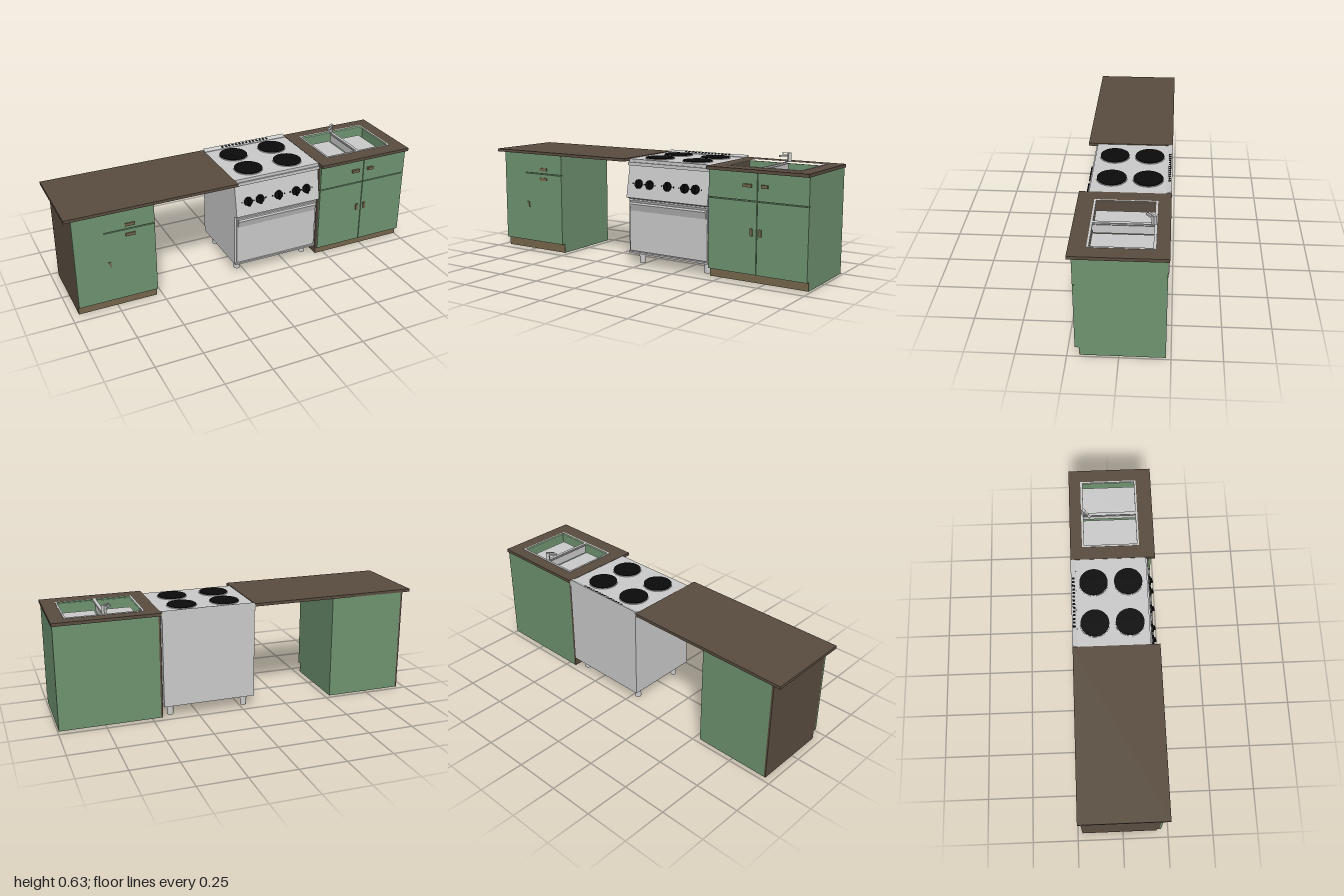
import * as THREE from 'three';

const mat = (color) => new THREE.MeshStandardMaterial({ color });
const STEEL = mat(0xcccccc), GREEN = mat(0x6f9470), WOOD = mat(0x5a4d40);
const KICK = mat(0x76674c), BLACK = mat(0x0b0b0b);

function add(parent, name, geometry, material) {
  const mesh = new THREE.Mesh(geometry, material);
  mesh.name = name;
  parent.add(mesh);
  return mesh;
}

// Box given by its limits on each axis
function box(parent, name, material, x0, x1, y0, y1, z0, z1) {
  const g = new THREE.BoxGeometry(x1 - x0, y1 - y0, z1 - z0);
  g.translate((x0 + x1) / 2, (y0 + y1) / 2, (z0 + z1) / 2);
  return add(parent, name, g, material);
}

// Side profile of [z, y] points swept from x0 to x1
function sweep(parent, name, material, x0, x1, points) {
  const shape = new THREE.Shape(points.map(([z, y]) => new THREE.Vector2(z, y)));
  const g = new THREE.ExtrudeGeometry(shape, { depth: x1 - x0, bevelEnabled: false });
  g.rotateY(-Math.PI / 2).translate(x1, 0, 0);
  return add(parent, name, g, material);
}

// Flat plate with rectangular holes, each rectangle being [x0, x1, z0, z1]
function plate(parent, name, material, rect, y0, y1, holes) {
  const corners = ([x0, x1, z0, z1]) =>
    [[x0, -z0], [x1, -z0], [x1, -z1], [x0, -z1]].map(([x, y]) => new THREE.Vector2(x, y));
  const shape = new THREE.Shape(corners(rect));
  holes.forEach((h) => shape.holes.push(new THREE.Path(corners(h))));
  const g = new THREE.ExtrudeGeometry(shape, { depth: y1 - y0, bevelEnabled: false });
  g.rotateX(-Math.PI / 2).translate(0, y0, 0);
  return add(parent, name, g, material);
}

// Open-topped carcass with a toe kick; fronts are [x0, x1, y0, y1]
function cabinet(name, x0, x1, y0, y1, fronts) {
  const g = new THREE.Group();
  g.name = name;
  const t = 0.01, back = -0.225, kickTop = 0.052;
  const side = [[back, y0], [0.188, y0], [0.188, kickTop], [0.2, kickTop], [0.2, y1], [back, y1]];
  sweep(g, 'outerSide', WOOD, x0, x0 + t, side);
  sweep(g, 'innerSide', GREEN, x1 - t, x1, side);
  box(g, 'backPanel', GREEN, x0 + t, x1 - t, y0, y1, back, back + t);
  box(g, 'bottomPanel', GREEN, x0 + t, x1 - t, y0, y0 + t, back + t, 0.18);
  box(g, 'toeKick', KICK, x0, x1, y0 + 0.001, kickTop, 0.18, 0.189);
  box(g, 'faceFrame', GREEN, x0 + t, x1 - t, kickTop, y1, 0.19, 0.2);
  fronts.forEach((f) => box(g, 'frontPanel', GREEN, ...f, 0.2, 0.21));
  return g;
}

function handle(parent, x, y, w, h, depth) {
  box(parent, 'handle', KICK, x - w / 2, x + w / 2, y - h / 2, y + h / 2, 0.208, 0.21 + depth);
}

function createDrawerUnit() {
  const g = cabinet('drawerCabinet', -0.96, -0.53, 0, 0.571, [
    [-0.96, -0.8, 0.052, 0.571], [-0.8, -0.53, 0.458, 0.571], [-0.8, -0.53, 0.052, 0.453]]);
  handle(g, -0.662, 0.482, 0.052, 0.016, 0.006);
  handle(g, -0.662, 0.425, 0.052, 0.016, 0.006);
  // Small tapered door latch
  const latch = new THREE.Shape([[-0.79, 0.285], [-0.775, 0.285], [-0.772, 0.252], [-0.779, 0.256]]
    .map(([x, y]) => new THREE.Vector2(x, y)));
  const geo = new THREE.ExtrudeGeometry(latch, { depth: 0.005, bevelEnabled: false });
  add(g, 'latch', geo.translate(0, 0, 0.21), KICK);
  box(g, 'longCountertop', WOOD, -1, -0.07, 0.571, 0.587, -0.232, 0.232);
  return g;
}

function createSinkUnit() {
  const x0 = 0.445, x1 = 0.995, mid = 0.72, gap = 0.002;
  const g = cabinet('sinkCabinet', x0, x1, 0.006, 0.568, [
    [x0, mid - gap, 0.427, 0.568], [mid + gap, x1, 0.427, 0.568],
    [x0, mid - gap, 0.052, 0.422], [mid + gap, x1, 0.052, 0.422]]);
  handle(g, 0.667, 0.502, 0.045, 0.016, 0.012);
  handle(g, 0.762, 0.502, 0.036, 0.016, 0.012);
  handle(g, 0.691, 0.268, 0.013, 0.038, 0.006);
  handle(g, 0.741, 0.268, 0.013, 0.038, 0.006);
  const bowls = [[0.525, 0.708, -0.155, 0.137], [0.726, 0.917, -0.155, 0.137]];
  plate(g, 'sinkCountertop', WOOD, [0.44, 1, -0.232, 0.232], 0.568, 0.585, [[0.518, 0.923, -0.163, 0.144]]);
  plate(g, 'sinkRim', STEEL, [0.515, 0.926, -0.167, 0.148], 0.575, 0.587, bowls);
  bowls.forEach(([a, b, c, d]) => {
    const t = 0.004, y = 0.525;
    plate(g, 'sinkBowl', STEEL, [a - t, b + t, c - t, d + t], y, 0.576, [[a, b, c, d]]);
    box(g, 'sinkFloor', STEEL, a - t, b + t, y - t, y, c - t, d + t);
  });
  // Mixer tap turned toward the front left
  const tap = new THREE.Group();
  tap.name = 'tap';
  tap.position.set(0.72, 0.585, -0.152);
  tap.rotation.y = -0.85;
  box(tap, 'tapPost', STEEL, -0.009, 0.009, 0, 0.046, -0.009, 0.009);
  box(tap, 'tapSpout', STEEL, -0.006, 0.006, 0.028, 0.037, 0.005, 0.054);
  box(tap, 'tapLever', STEEL, -0.005, 0.005, 0.046, 0.049, -0.009, 0.04);
  g.add(tap);
  return g;
}

function createStove() {
  const g = new THREE.Group();
  g.name = 'stove';
  // Body with a leaning control panel
  sweep(g, 'stoveBody', STEEL, -0.068, 0.438, [[-0.231, 0.065], [0.185, 0.065], [0.185, 0.365],
    [0.213, 0.375], [0.181, 0.55], [-0.231, 0.55]]);
  box(g, 'hob', STEEL, -0.072, 0.442, 0.55, 0.583, -0.232, 0.182);
  box(g, 'hobFrontTrim', STEEL, -0.072, 0.442, 0.548, 0.566, 0.182, 0.19);
  box(g, 'ovenDoor', STEEL, -0.058, 0.428, 0.078, 0.358, 0.185, 0.192);
  sweep(g, 'ovenHandle', STEEL, -0.053, 0.423,
    [[0.19, 0.302], [0.196, 0.302], [0.208, 0.34], [0.204, 0.35], [0.19, 0.35]]);
  box(g, 'plinthTrim', STEEL, -0.065, 0.435, 0.065, 0.074, 0.185, 0.196);
  // Hot plates
  for (const x of [0.062, 0.3]) for (const z of [-0.11, 0.078]) {
    const ring = new THREE.CylinderGeometry(0.081, 0.081, 0.004, 40);
    add(g, 'plateRing', ring, STEEL).position.set(x, 0.584, z);
    const disc = new THREE.CylinderGeometry(0.077, 0.077, 0.008, 40);
    add(g, 'hotPlate', disc, BLACK).position.set(x, 0.586, z);
  }
  // Sloping rear upstand with vents
  sweep(g, 'rearUpstand', STEEL, -0.068, 0.438,
    [[-0.232, 0.583], [-0.205, 0.583], [-0.205, 0.586], [-0.232, 0.595]]);
  for (let i = 0; i < 14; i++) {
    const vent = add(g, 'vent', new THREE.BoxGeometry(0.011, 0.002, 0.014), BLACK);
    vent.position.set(0.045 + i * 0.0215, 0.591, -0.219);
    vent.rotation.x = 0.32;
  }
  // Knobs and marks lying on the control panel
  const panel = new THREE.Group();
  panel.name = 'controls';
  panel.position.set(0, 0.452, 0.199);
  panel.rotation.x = -0.18;
  for (const x of [0.005, 0.075, 0.188, 0.295, 0.36]) {
    const disc = new THREE.CylinderGeometry(0.024, 0.025, 0.008, 24).rotateX(Math.PI / 2);
    add(panel, 'knob', disc, BLACK).position.set(x, 0, 0.004);
    box(panel, 'knobGrip', BLACK, x - 0.005, x + 0.005, -0.024, 0.024, 0.006, 0.019);
  }
  for (const x of [-0.032, 0.04, 0.11, 0.152, 0.225, 0.26, 0.328, 0.396])
    box(panel, 'dialMark', BLACK, x - 0.003, x + 0.003, -0.004, 0.004, -0.002, 0.002);
  g.add(panel);
  // Feet
  for (const x of [-0.025, 0.392]) for (const z of [0.12, -0.174]) {
    add(g, 'foot', new THREE.CylinderGeometry(0.019, 0.019, 0.03, 20), STEEL).position.set(x, 0.052, z);
    add(g, 'footTip', new THREE.CylinderGeometry(0.017, 0.017, 0.04, 20), STEEL).position.set(x, 0.02, z);
  }
  return g;
}

export function createModel() {
  const model = new THREE.Group();
  model.name = 'kitchenUnit';
  model.add(createDrawerUnit(), createStove(), createSinkUnit());
  return model;
}
